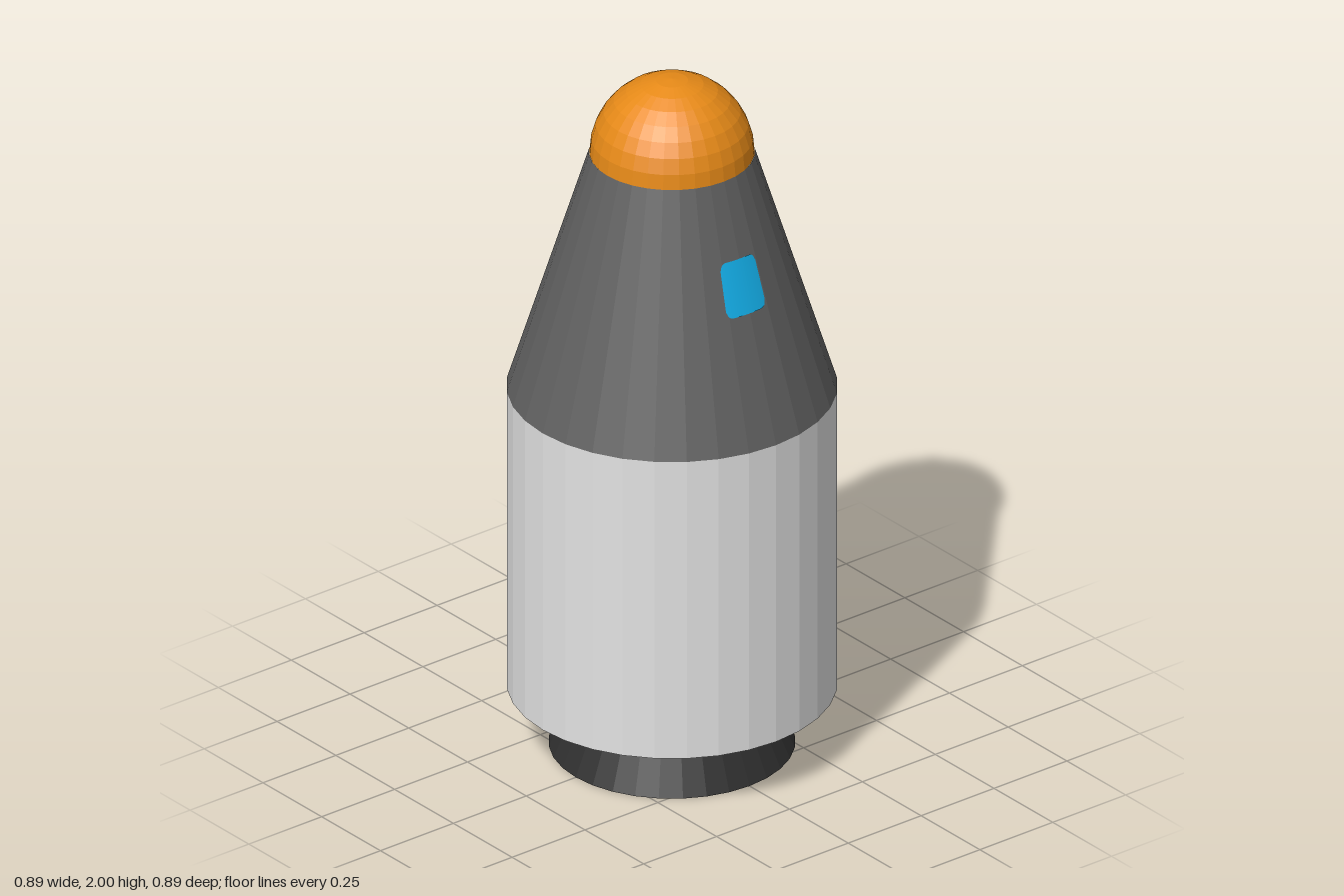
import * as THREE from 'three';

const SIDES = 32;

function material(name, color, options = {}) {
  const m = new THREE.MeshStandardMaterial({ color, flatShading: true, ...options });
  m.name = name;
  return m;
}

export function createModel() {
  const group = new THREE.Group();
  group.name = 'rocketCapsule';

  const orange = material('orange', 0xf7941a);
  const grey = material('grey', 0x606060);
  const white = material('white', 0xe2e2e2);
  const dark = material('dark', 0x303030, { side: THREE.DoubleSide });
  const blue = material('blue', 0x14b4f0);

  const add = (name, geometry, mat, y = 0) => {
    const mesh = new THREE.Mesh(geometry, mat);
    mesh.name = name;
    mesh.position.y = y;
    group.add(mesh);
    return mesh;
  };
  // Open frustum standing between two heights
  const frustum = (name, rTop, rBottom, y0, y1, mat) =>
    add(name, new THREE.CylinderGeometry(rTop, rBottom, y1 - y0, SIDES, 1, true), mat, (y0 + y1) / 2);

  // Engine bell, open at the bottom
  frustum('engineBell', 0.25, 0.33, 0, 0.18, dark);

  // Cylindrical hull with a dark underside
  frustum('hull', 0.443, 0.443, 0.18, 1.075, white);
  const underside = new THREE.CircleGeometry(0.443, SIDES);
  underside.rotateX(Math.PI / 2);
  add('hullUnderside', underside, dark, 0.18);

  // Tapered upper section and domed tip
  frustum('cabin', 0.222, 0.443, 1.075, 1.78, grey);
  add('noseDome', new THREE.SphereGeometry(0.221, SIDES, 8, 0, Math.PI * 2, 0, Math.PI / 2), orange, 1.779);

  // Window: a rounded panel wrapped onto the cabin's slope
  const halfW = 0.062, halfH = 0.073, corner = 0.02;
  const pane = new THREE.PlaneGeometry(2 * halfW, 2 * halfH, 24, 1);
  const p = pane.attributes.position;
  for (let i = 0; i < p.count; i++) {
    const x = p.getX(i);
    const inset = Math.max(0, Math.abs(x) - (halfW - corner));
    const cut = corner - Math.sqrt(Math.max(0, corner * corner - inset * inset));
    const y = 1.502 + Math.sign(p.getY(i)) * (halfH - cut);
    const radius = 0.443 - (y - 1.075) * (0.221 / 0.705) + 0.002;
    const angle = (x - 0.007) / 0.31;
    p.setXYZ(i, radius * Math.sin(angle), y, radius * Math.cos(angle));
  }
  pane.computeVertexNormals();
  add('window', pane, blue);

  return group;
}
